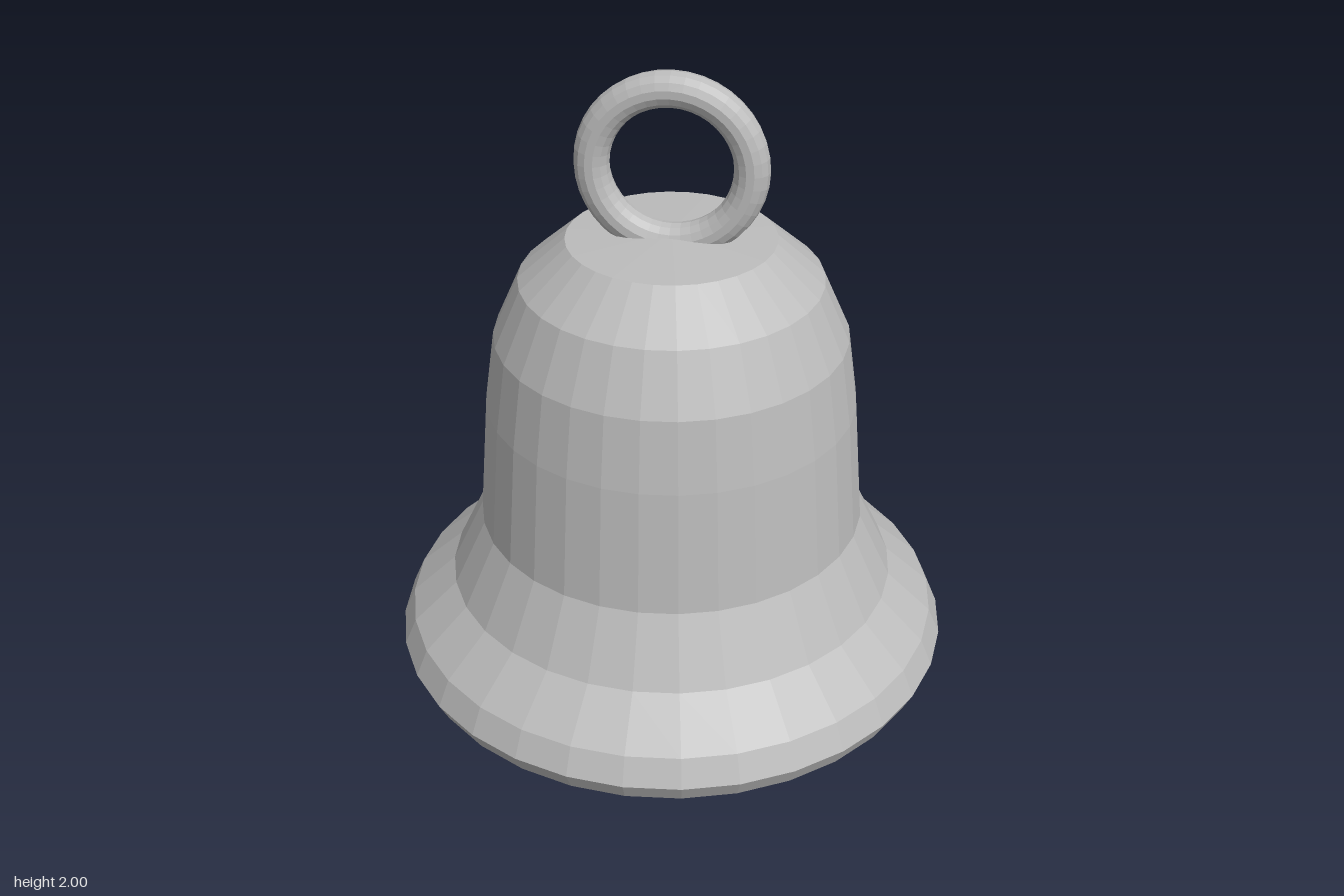
import * as THREE from 'three';

const SIDES = 32;

// Flat facets, keeping the geometry's own winding
function faceted(geometry) {
  const g = geometry.toNonIndexed();
  g.computeVertexNormals();
  return g;
}

function turned(name, profile, material, sides = SIDES) {
  const points = profile.map(([r, y]) => new THREE.Vector2(r, y));
  const mesh = new THREE.Mesh(faceted(new THREE.LatheGeometry(points, sides)), material);
  mesh.name = name;
  return mesh;
}

export function createModel() {
  const model = new THREE.Group();
  model.name = 'bell';
  const metal = new THREE.MeshStandardMaterial({ color: 0xbcbcbc });
  metal.name = 'grey metal';

  // Hollow shell: down the inside, around the lip, up the outside
  model.add(turned('bellShell', [
    [0, 1.45], [0.26, 1.44], [0.37, 1.35], [0.44, 1.21], [0.47, 1.02],
    [0.50, 0.65], [0.58, 0.43], [0.69, 0.30], [0.72, 0.19],
    [0.795, 0.19], [0.825, 0.25], [0.79, 0.33], [0.66, 0.45], [0.565, 0.65],
    [0.535, 1.02], [0.505, 1.23], [0.43, 1.40], [0.295, 1.52], [0, 1.535],
  ], metal));

  // Clapper weight, pointed at the bottom
  model.add(turned('clapper', [
    [0, 0], [0.137, 0.065], [0.173, 0.18], [0.135, 0.30], [0.033, 0.32], [0, 0.32],
  ], metal));

  // Rod holding the clapper inside the shell
  const rod = new THREE.Mesh(
    faceted(new THREE.CylinderGeometry(0.033, 0.033, 1.16, 16)), metal);
  rod.name = 'clapperRod';
  rod.position.y = 0.89;
  model.add(rod);

  // Hanging ring, sunk into the crown
  const ring = new THREE.Mesh(
    faceted(new THREE.TorusGeometry(0.22, 0.05, 14, 40)), metal);
  ring.name = 'hangingRing';
  ring.position.y = 1.73;
  model.add(ring);

  return model;
}
